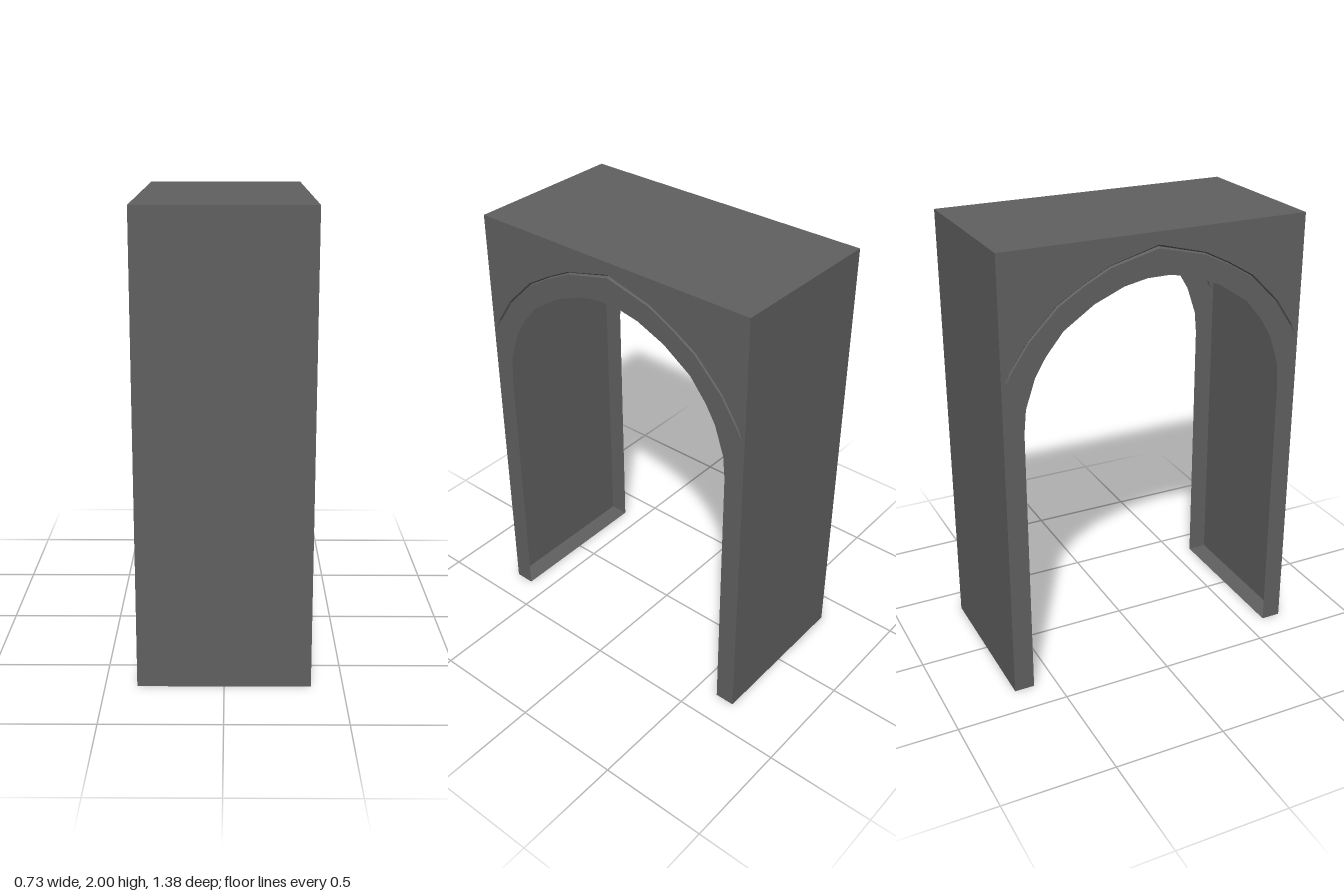
import * as THREE from 'three';

const HX = 0.365, HZ = 0.69, H = 2, OPEN = 0.6;

// Half profiles from the side to the centre, [across, height]
const ARCH = [[0.6, 1.24], [0.59, 1.345], [0.546, 1.475], [0.498, 1.555], [0.42, 1.65], [0.286, 1.74], [0.154, 1.795], [0.05, 1.815]];
const GROOVE_OUT = [[0.68, 1.45], [0.655, 1.51], [0.578, 1.627], [0.446, 1.76], [0.33, 1.83], [0.217, 1.888], [0, 1.946]];
const GROOVE_IN = [[0.68, 1.45], [0.645, 1.51], [0.566, 1.624], [0.438, 1.752], [0.325, 1.821], [0.212, 1.878], [0, 1.931]];

// Mirrors a half profile into a full one running left to right
function mirrored(half) {
  const left = half.map(([x, y]) => new THREE.Vector2(-x, y));
  const right = half.filter(([x]) => x > 0).reverse().map(([x, y]) => new THREE.Vector2(x, y));
  return [...left, ...right];
}

// Shallow V-shaped groove between two curves
function grooveGeometry(outer, inner, depth) {
  const pos = [];
  const last = outer.length - 1;
  const rows = outer.map((o, i) => {
    const n = inner[i];
    const d = i === 0 || i === last ? 0 : depth;
    return [[o.x, o.y, 0], [(o.x + n.x) / 2, (o.y + n.y) / 2, -d], [n.x, n.y, 0]];
  });
  for (let i = 0; i < last; i++) {
    for (let k = 0; k < 2; k++) {
      const a = rows[i][k], b = rows[i][k + 1], c = rows[i + 1][k + 1], d = rows[i + 1][k];
      pos.push(...a, ...b, ...c, ...a, ...c, ...d);
    }
  }
  const g = new THREE.BufferGeometry();
  g.setAttribute('position', new THREE.Float32BufferAttribute(pos, 3));
  g.computeVertexNormals();
  return g;
}

export function createModel() {
  const stone = new THREE.MeshStandardMaterial({ color: 0x606060, side: THREE.DoubleSide });
  stone.name = 'dark grey stone';
  const model = new THREE.Group();
  model.name = 'archway';

  const add = (parent, name, geometry) => {
    const mesh = new THREE.Mesh(geometry, stone);
    mesh.name = name;
    parent.add(mesh);
    return mesh;
  };

  // Arched end panels, each with a groove above the opening
  const outer = mirrored(GROOVE_OUT), inner = mirrored(GROOVE_IN);
  const panel = new THREE.Shape([
    new THREE.Vector2(-HZ, 0), new THREE.Vector2(-OPEN, 0),
    ...mirrored(ARCH),
    new THREE.Vector2(OPEN, 0), new THREE.Vector2(HZ, 0),
    new THREE.Vector2(HZ, H), new THREE.Vector2(-HZ, H),
  ]);
  panel.holes.push(new THREE.Path([...outer, ...inner.slice(1, -1).reverse()]));
  for (const side of [1, -1]) {
    const end = new THREE.Group();
    end.name = side > 0 ? 'leftArch' : 'rightArch';
    end.rotation.y = side * Math.PI / 2;
    end.position.x = side * HX;
    add(end, 'archPanel', new THREE.ShapeGeometry(panel));
    add(end, 'archGroove', grooveGeometry(outer, inner, 0.008));
    model.add(end);
  }

  // Outer walls and the strips closing the bottom of each leg
  for (const side of [1, -1]) {
    const prefix = side > 0 ? 'front' : 'back';
    const wall = add(model, prefix + 'Wall', new THREE.PlaneGeometry(2 * HX, H));
    wall.position.set(0, H / 2, side * HZ);
    if (side < 0) wall.rotation.y = Math.PI;
    const foot = add(model, prefix + 'Foot', new THREE.PlaneGeometry(2 * HX, HZ - OPEN));
    foot.rotation.x = Math.PI / 2;
    foot.position.z = side * (HZ + OPEN) / 2;
  }

  // Flat roof
  const roof = add(model, 'roof', new THREE.PlaneGeometry(2 * HX, 2 * HZ));
  roof.rotation.x = -Math.PI / 2;
  roof.position.y = H;

  return model;
}
